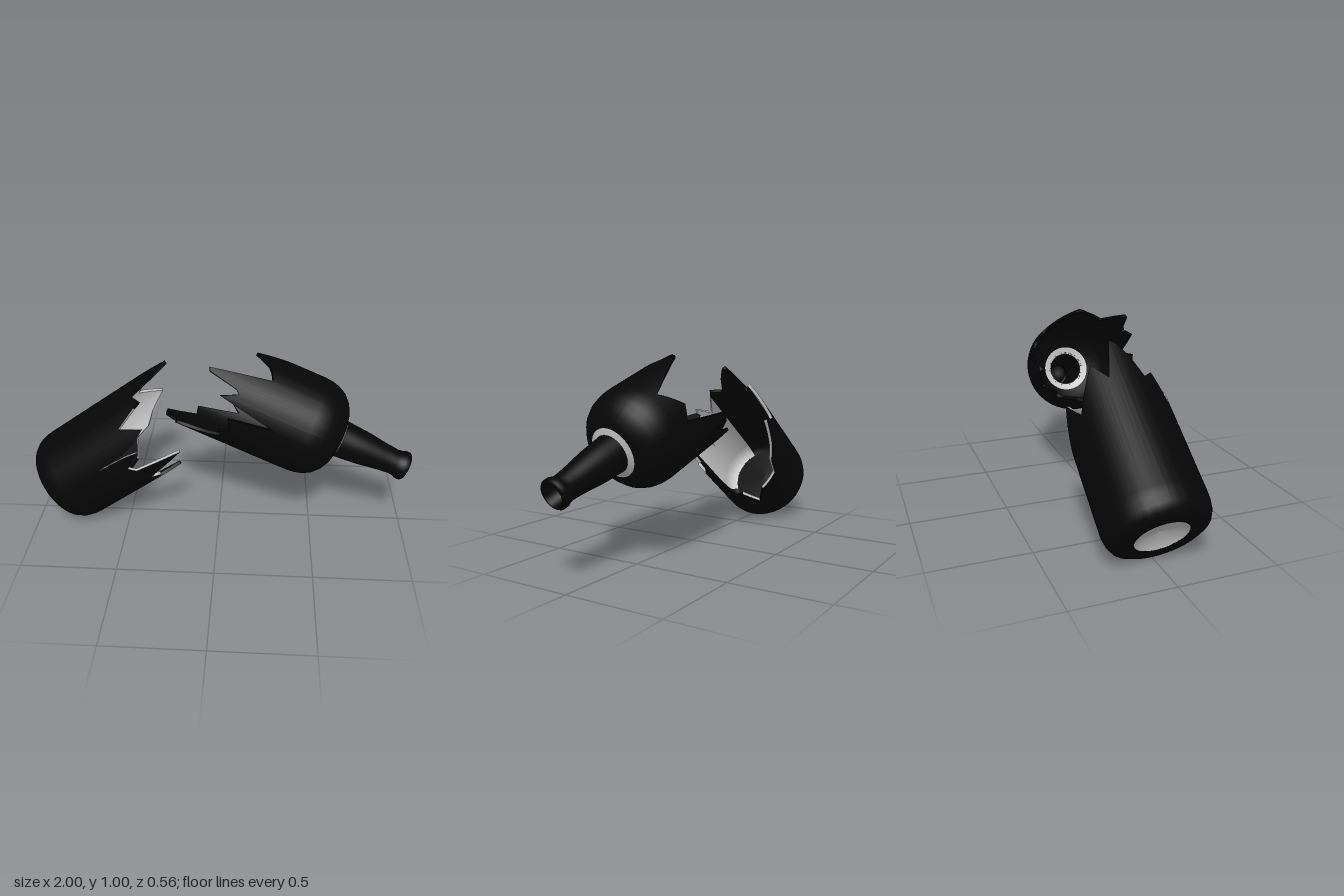
import * as THREE from 'three';

const glass = new THREE.MeshStandardMaterial({ name: 'black glass', color: 0x060606, side: THREE.DoubleSide });
const pale = new THREE.MeshStandardMaterial({ name: 'pale grey', color: 0xc6c6c6, side: THREE.DoubleSide });
const RAD = Math.PI / 180;

// Broken rim as a height for each angle, joined by straight lines
function makeRim(points) {
  const p = [...points].sort((a, b) => a[0] - b[0]);
  const first = p[0], last = p[p.length - 1];
  p.unshift([last[0] - 360, last[1]]);
  p.push([first[0] + 360, first[1]]);
  const height = (a) => {
    const k = p.findIndex((q) => q[0] >= a);
    const [a0, h0] = p[k - 1], [a1, h1] = p[k];
    return h0 + ((h1 - h0) * (a - a0)) / (a1 - a0);
  };
  const set = new Set(points.map((q) => q[0]));
  for (let a = 0; a < 360; a += 5) set.add(a);
  return { height, angles: [...set].sort((a, b) => a - b) };
}

const evenAngles = Array.from({ length: 48 }, (_, i) => i * 7.5);
const allBlack = () => false;
const allPale = () => true;

// Closed ring of columns; column(angle) lists [radius, height] points,
// isPale(angle) picks the colour of each strip
function revolve(name, isPale, angles, column, inward = false) {
  const pos = [], index = [];
  const g = new THREE.BufferGeometry();
  const rows = column(0).length;
  for (const a of angles)
    for (const [r, h] of column(a)) pos.push(r * Math.cos(a * RAD), h, r * Math.sin(a * RAD));
  angles.forEach((angle, i) => {
    const n = (i + 1) % angles.length;
    const next = n ? angles[n] : angles[0] + 360;
    g.addGroup(index.length, (rows - 1) * 6, isPale((angle + next) / 2) ? 1 : 0);
    for (let j = 0; j < rows - 1; j++) {
      const a = i * rows + j, b = a + 1, c = n * rows + j, d = c + 1;
      if (inward) index.push(a, c, b, b, c, d);
      else index.push(a, b, c, b, d, c);
    }
  });
  g.setAttribute('position', new THREE.Float32BufferAttribute(pos, 3));
  g.setIndex(index);
  g.computeVertexNormals();
  const mesh = new THREE.Mesh(g, [glass, pale]);
  mesh.name = name;
  return mesh;
}

// Outer wall, inner wall and the broken edge between them
function brokenShell(group, name, rim, outer, inner, paleInside, paleEdge) {
  const ro = outer[outer.length - 1][0], ri = inner[inner.length - 1][0];
  const { height, angles } = rim;
  group.add(
    revolve(name + 'Outside', allBlack, angles, (a) => [...outer, [ro, height(a)]]),
    revolve(name + 'Inside', paleInside, angles, (a) => [...inner, [ri, height(a)]], true),
    revolve(name + 'BrokenEdge', paleEdge, angles, (a) => [[ro, height(a)], [ri, height(a)]]),
  );
}

// Stand a piece on its own axis: x is its upper side, y runs towards the break
function place(group, up, along, origin) {
  const y = new THREE.Vector3(...along).normalize();
  const z = new THREE.Vector3(...up).cross(y).normalize();
  const x = new THREE.Vector3().crossVectors(y, z);
  group.quaternion.setFromRotationMatrix(new THREE.Matrix4().makeBasis(x, y, z));
  group.position.set(...origin);
}

// True when the angle, counted towards the front, lies in one of the sectors
const inSectors = (sectors) => (a) => sectors.some(([from, to]) => 360 - a > from && 360 - a < to);

function makeBase() {
  const group = new THREE.Group();
  group.name = 'bottleBase';
  const rim = makeRim([
    [2, 0.9], [12, 0.82], [22, 0.7], [36, 0.74], [52, 0.58], [66, 0.69], [74, 0.62], [79, 0.53],
    [81, 0.35], [83, 0.52], [86, 0.595], [97, 0.495], [106, 0.52], [115, 0.77], [130, 0.53],
    [140, 0.57], [150, 0.51], [166, 0.65], [175, 0.305], [191, 0.35], [205, 0.237], [219, 0.347],
    [244, 0.398], [250, 0.5], [265, 0.58], [282, 0.71], [300, 0.6], [328, 0.81], [342, 0.71], [356, 0.92],
  ].map(([a, h]) => [360 - a, h]));
  brokenShell(group, 'base', rim,
    [[0.13, 0], [0.205, 0], [0.232, 0.014], [0.249, 0.045], [0.257, 0.085], [0.258, 0.12]],
    [[0.19, 0.05], [0.225, 0.065], [0.24, 0.12]],
    inSectors([[40, 120], [245, 325]]),
    inSectors([[40, 150], [191, 205], [219, 331]]));
  group.add(
    revolve('baseFloor', allBlack, evenAngles, () => [[0, 0.06], [0.19, 0.05]], true),
    // Hollow under the bottle
    revolve('basePunt', allPale, evenAngles, () => [[0, 0.03], [0.09, 0.02], [0.13, 0]]),
  );
  place(group, [-0.585, 0.81, 0], [0.81, 0.585, 0], [-0.875, 0.177, -0.02]);
  return group;
}

function makeTop() {
  const group = new THREE.Group();
  group.name = 'bottleTop';
  const rim = makeRim([
    [0, 0.95], [14, 0.87], [22, 0.85], [33, 0.83], [47, 1.14], [51, 1.13], [58, 0.98], [62, 0.96],
    [71, 1.04], [84, 0.74], [93, 0.96], [107, 0.93], [116, 0.98], [122, 0.95], [135, 1.07], [143, 1.18],
    [149, 1.19], [153, 1.12], [170, 1.25], [180, 1.255], [194, 1.1], [207, 1.11], [220, 0.89], [231, 0.95],
    [242, 0.82], [259, 0.95], [264, 0.94], [284, 0.66], [300, 0.7], [325, 0.61], [338, 0.74],
  ]);
  brokenShell(group, 'shoulder', rim,
    [[0.128, 0.388], [0.155, 0.397], [0.19, 0.418], [0.222, 0.45], [0.243, 0.49], [0.253, 0.53], [0.257, 0.57]],
    [[0.128, 0.4], [0.17, 0.425], [0.205, 0.455], [0.232, 0.5], [0.24, 0.57]], allBlack, allBlack);
  group.add(
    // Pale collar where the neck meets the shoulder
    revolve('neckCollar', allPale, evenAngles, () => [[0.09, 0.374], [0.13, 0.389]]),
    // Neck with hollow mouth and lip
    revolve('neck', allBlack, evenAngles, () => [
      [0, 0.12], [0.05, 0.12], [0.058, 0], [0.07, 0], [0.076, 0.008], [0.076, 0.03], [0.069, 0.045],
      [0.066, 0.07], [0.074, 0.15], [0.087, 0.24], [0.093, 0.31], [0.098, 0.38],
    ]),
  );
  place(group, [0.363, 0.932, 0], [-0.927, 0.361, -0.107], [0.973, 0.41, 0.085]);
  return group;
}

export function createModel() {
  const model = new THREE.Group();
  model.name = 'brokenBottle';
  model.add(makeBase(), makeTop());
  return model;
}
